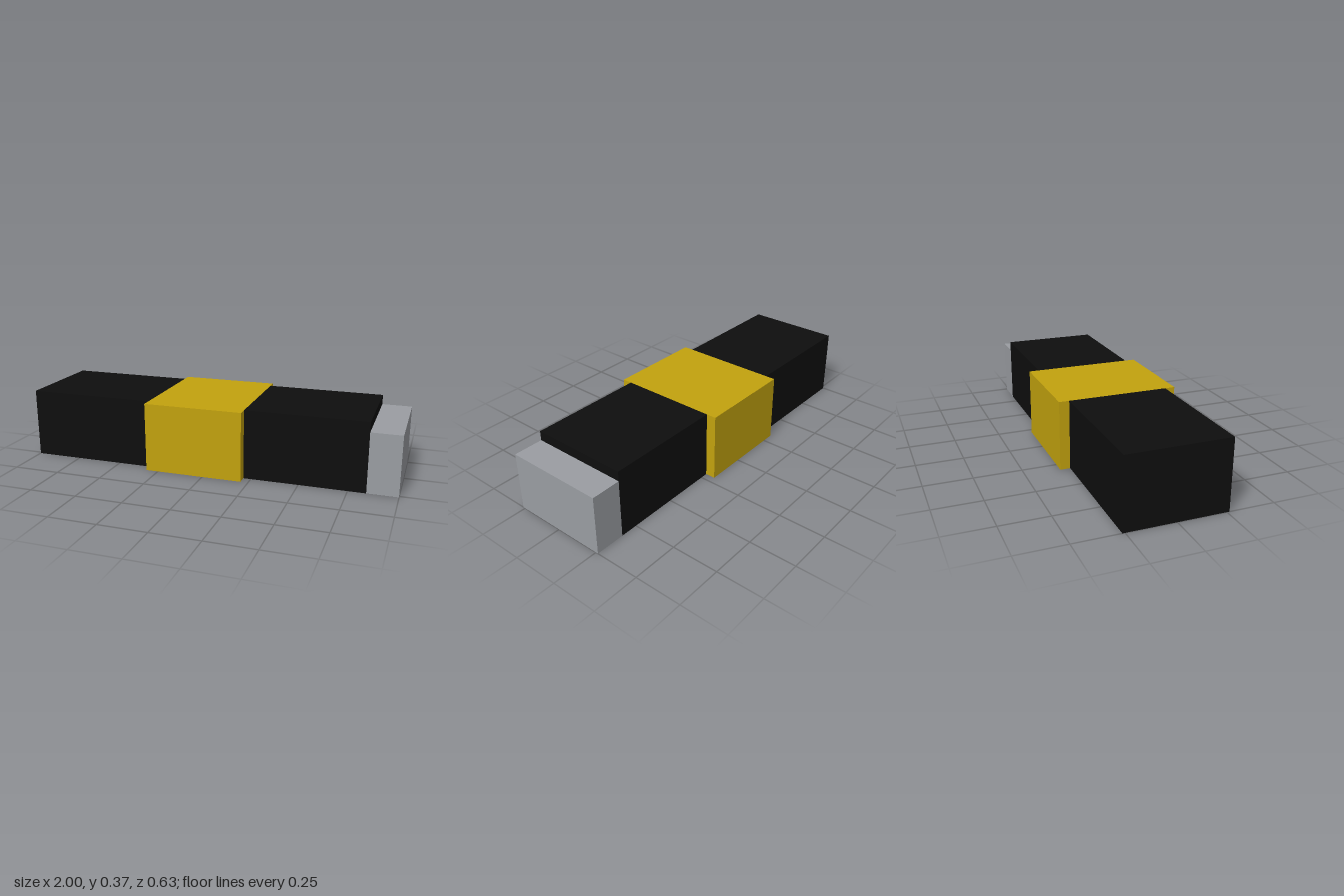
import * as THREE from 'three';

export function createModel() {
  const model = new THREE.Group();
  const paint = (name, color) => new THREE.MeshStandardMaterial({ name, color });
  const black = paint('black', 0x0e0e0e);
  const gold = paint('gold', 0xc2a20e);
  const grey = paint('grey', 0x9a9da2);

  // Block standing on the ground between two x positions
  const block = (name, x0, x1, height, depth, material) => {
    const mesh = new THREE.Mesh(new THREE.BoxGeometry(x1 - x0, height, depth), material);
    mesh.name = name;
    mesh.position.set((x0 + x1) / 2, height / 2, 0);
    model.add(mesh);
  };

  // Two body halves meet the band, so no faces overlap on top or bottom
  block('rearBody', -1, -0.316, 0.368, 0.526, black);
  block('centreBand', -0.316, 0.21, 0.368, 0.632, gold);
  block('frontBody', 0.21, 0.842, 0.368, 0.526, black);
  // Lower end cap
  block('endCap', 0.842, 1, 0.316, 0.526, grey);

  return model;
}
